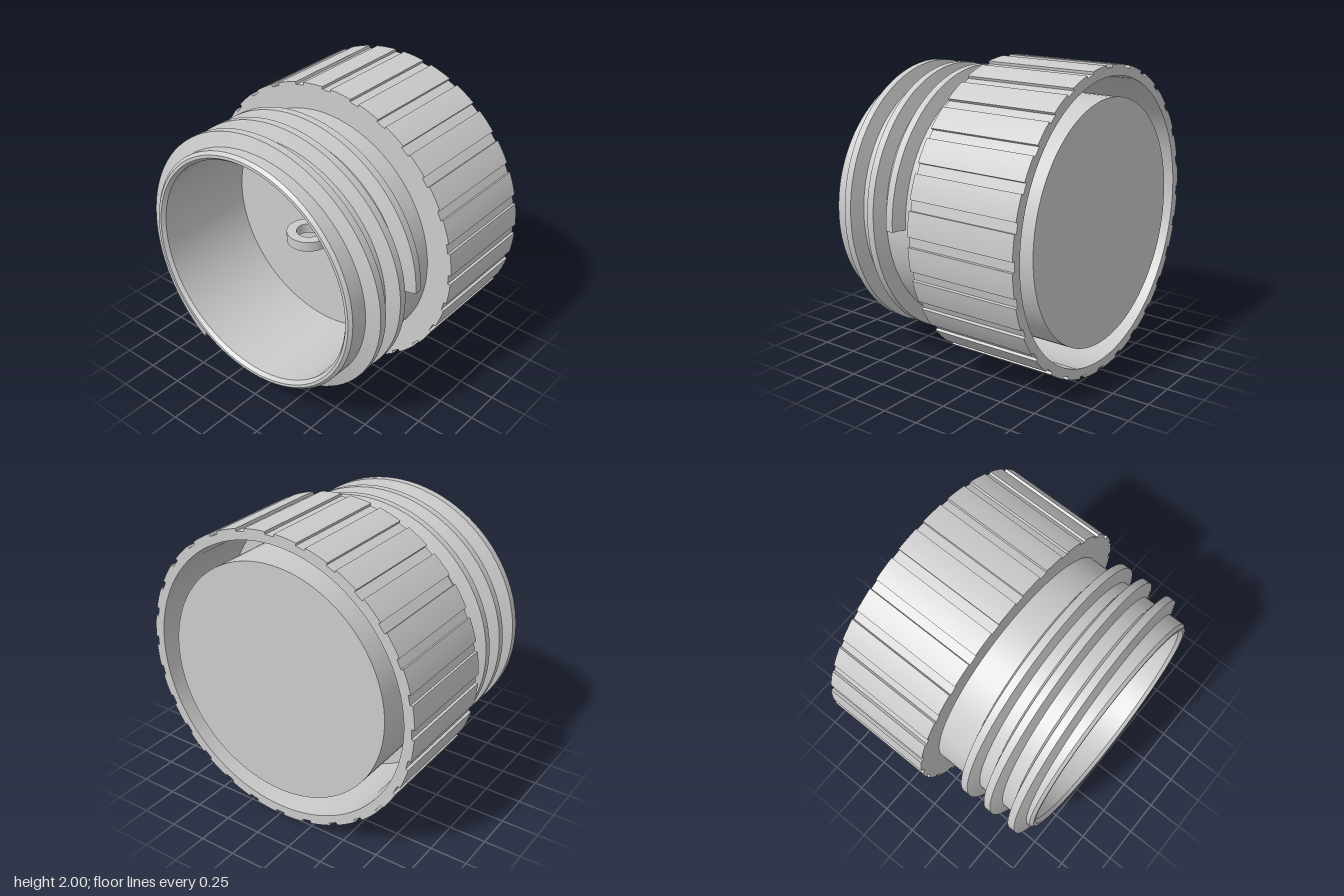
import * as THREE from 'three';
import { toCreasedNormals } from 'three/addons/utils/BufferGeometryUtils.js';

const HALF = 0.765; // half length along z

export function createModel() {
  const group = new THREE.Group();
  const material = new THREE.MeshStandardMaterial({ color: 0xcccccc });
  const add = (name, geometry) => {
    const mesh = new THREE.Mesh(toCreasedNormals(geometry, 0.3), material);
    mesh.name = name;
    mesh.position.y = 1;
    group.add(mesh);
    return mesh;
  };

  // Grip sleeve: tube with 28 shallow grooves along its outside
  const grooves = 28, step = (Math.PI * 2) / grooves, half = 0.033;
  const outline = new THREE.Shape();
  for (let i = 0; i < grooves; i++) {
    const a = i * step;
    const point = (r, t) => {
      const x = r * Math.cos(t), y = r * Math.sin(t);
      if (outline.curves.length === 0 && i === 0 && t === -half) outline.moveTo(x, y);
      else outline.lineTo(x, y);
    };
    point(0.982, a - half);
    point(0.982, a + half);
    for (let k = 0; k <= 4; k++) point(1, a + half + ((step - 2 * half) * k) / 4);
  }
  outline.closePath();
  const bore = new THREE.Path();
  bore.absarc(0, 0, 0.93, 0, Math.PI * 2, true);
  outline.holes.push(bore);
  const sleeve = new THREE.ExtrudeGeometry(outline, { depth: HALF, bevelEnabled: false, curveSegments: 48 });
  sleeve.translate(0, 0, -HALF);
  add('gripSleeve', sleeve);

  // Core: rear plug, web that carries the sleeve, hollow neck with chamfered lip
  const profile = [
    [0, -HALF], [0.8, -HALF], [0.8, -0.08], [0.94, -0.08], [0.94, 0], [0.825, 0],
    [0.825, 0.745], [0.805, HALF], [0.785, HALF], [0.765, 0.74], [0.765, 0.02], [0, 0.02],
  ].map(([r, z]) => new THREE.Vector2(r, z));
  add('plugAndNeck', new THREE.LatheGeometry(profile, 96).rotateX(Math.PI / 2));

  // Screw thread: trapezoid section swept along a helix
  add('screwThread', threadGeometry());

  // Eyelet standing on the floor of the neck
  const eyelet = new THREE.Shape();
  const join = Math.atan2(0.105, 0.1);
  eyelet.moveTo(-0.1, -0.17);
  eyelet.lineTo(0.1, -0.17);
  eyelet.lineTo(0.1, -0.105);
  eyelet.absarc(0, 0, 0.145, -join, Math.PI + join, false);
  eyelet.closePath();
  const hole = new THREE.Path();
  hole.absarc(0, 0, 0.08, 0, Math.PI * 2, true);
  eyelet.holes.push(hole);
  const tab = new THREE.ExtrudeGeometry(eyelet, { depth: 0.07, bevelEnabled: false, curveSegments: 24 });
  tab.rotateX(Math.PI / 2).translate(0, 0.04, 0.18);
  add('eyelet', tab);

  return group;
}

function threadGeometry() {
  const section = [[0.82, -0.055], [0.915, -0.025], [0.915, 0.025], [0.82, 0.055]];
  const turns = 2.66, n = 255;
  const positions = [], index = [];
  for (let i = 0; i <= n; i++) {
    const t = (turns * i) / n, a = t * Math.PI * 2;
    const z = 0.222 + 0.195 * t - 0.04 * (1 - Math.exp(-3 * t));
    for (const [r, dz] of section) positions.push(r * Math.cos(a), r * Math.sin(a), z + dz);
    if (i === n) break;
    for (let j = 0; j < 4; j++) {
      const p = i * 4 + j, q = i * 4 + ((j + 1) % 4);
      index.push(p, p + 4, q, q, p + 4, q + 4);
    }
  }
  // End caps
  const e = n * 4;
  index.push(0, 1, 2, 0, 2, 3, e, e + 2, e + 1, e, e + 3, e + 2);
  const geometry = new THREE.BufferGeometry();
  geometry.setAttribute('position', new THREE.Float32BufferAttribute(positions, 3));
  geometry.setIndex(index);
  return geometry;
}
